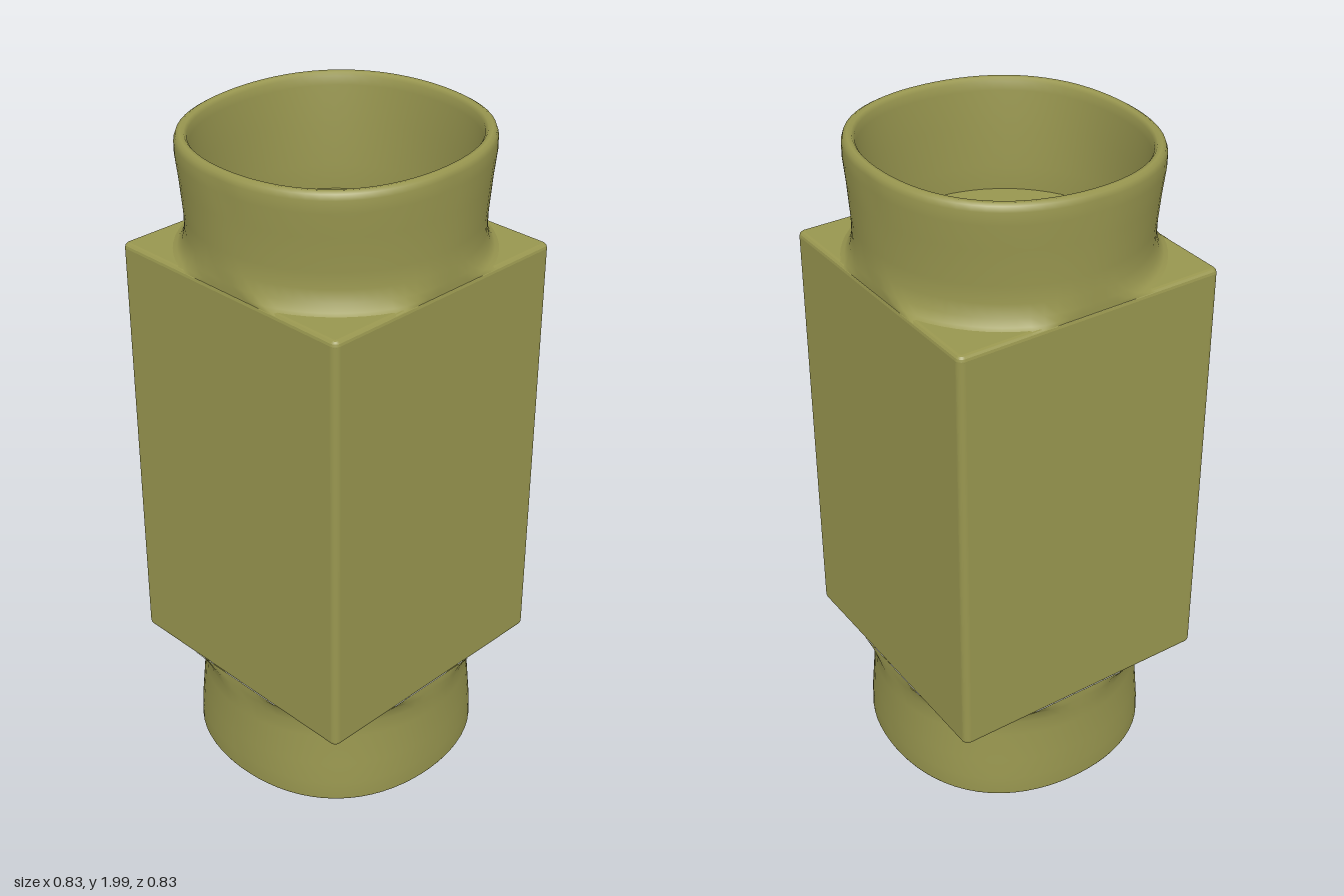
import * as THREE from 'three';
import { mergeVertices } from 'three/addons/utils/BufferGeometryUtils.js';

const HALF = 0.413; // half width of the square body

function roundedSquare(Type, h, r) {
  const s = new Type();
  s.moveTo(-h + r, -h);
  s.lineTo(h - r, -h);
  s.absarc(h - r, -h + r, r, -Math.PI / 2, 0);
  s.absarc(h - r, h - r, r, 0, Math.PI / 2);
  s.absarc(-h + r, h - r, r, Math.PI / 2, Math.PI);
  s.absarc(-h + r, -h + r, r, Math.PI, Math.PI * 1.5);
  return s;
}

// Lathed collar, slightly squared at the rim and trimmed flush with the body
function collarGeometry(profile, tilt) {
  let g = new THREE.LatheGeometry(profile.map(([r, y]) => new THREE.Vector2(r, y)), 72);
  const p = g.attributes.position;
  for (let i = 0; i < p.count; i++) {
    const x = p.getX(i), y = p.getY(i), z = p.getZ(i);
    const t = THREE.MathUtils.clamp((y - 0.7) / 0.25, 0, 1);
    const a = Math.atan2(z, x);
    const k = 1 + 0.035 * t * Math.sin(2 * a) ** 2;
    const limit = HALF - 0.002;
    p.setXYZ(i,
      THREE.MathUtils.clamp(x * k, -limit, limit),
      y + t * tilt * x,
      THREE.MathUtils.clamp(z * k, -limit, limit));
  }
  g.deleteAttribute('uv');
  g.deleteAttribute('normal');
  g = mergeVertices(g, 1e-5);
  g.computeVertexNormals();
  return g;
}

export function createModel() {
  const model = new THREE.Group();
  const olive = new THREE.MeshStandardMaterial({ color: 0x98964f });
  olive.name = 'olive';
  const add = (geometry, name, y) => {
    const mesh = new THREE.Mesh(geometry, olive);
    mesh.name = name;
    mesh.position.y = y;
    model.add(mesh);
    return mesh;
  };

  // Hollow square body, open at both ends
  const wall = roundedSquare(THREE.Shape, HALF, 0.02);
  wall.holes.push(roundedSquare(THREE.Path, 0.385, 0.01));
  const body = new THREE.ExtrudeGeometry(wall, { depth: 1.27, bevelEnabled: false, curveSegments: 5 });
  body.rotateX(-Math.PI / 2);
  add(body, 'squareBody', 0.365);

  // End plates with softened edges, forming the ledges around the collars
  const plate = roundedSquare(THREE.Shape, HALF, 0.02);
  const hole = new THREE.Path();
  hole.absarc(0, 0, 0.39, 0, Math.PI * 2, true);
  plate.holes.push(hole);
  const ledge = new THREE.ExtrudeGeometry(plate, {
    depth: 0.002, bevelThickness: 0.014, bevelSize: 0.014, bevelOffset: -0.014,
    bevelSegments: 3, curveSegments: 24,
  });
  ledge.rotateX(-Math.PI / 2);
  add(ledge, 'topLedge', 1.634);
  add(ledge, 'bottomLedge', 0.364);

  // Collars: outside upwards, over the rim, then down the bore
  const base = [[0.455, 0.645], [0.432, 0.655], [0.418, 0.675], [0.409, 0.71], [0.407, 0.76], [0.41, 0.86]];
  const topProfile = [...base, [0.414, 0.93], [0.413, 0.965], [0.408, 0.98], [0.398, 0.986],
    [0.386, 0.984], [0.379, 0.974], [0.376, 0.95], [0.371, 0.85], [0.37, 0.72], [0.37, 0.63], [0.376, 0.62], [0.392, 0.62]];
  const bottomProfile = [...base, [0.412, 0.93], [0.412, 0.985], [0.409, 0.992],
    [0.403, 0.992], [0.399, 0.98], [0.39, 0.9], [0.376, 0.78], [0.37, 0.7], [0.37, 0.63], [0.376, 0.62], [0.392, 0.62]];
  add(collarGeometry(topProfile, 0.025), 'topCollar', 1);
  add(collarGeometry(bottomProfile, 0), 'bottomCollar', 1).rotation.x = Math.PI;

  return model;
}
